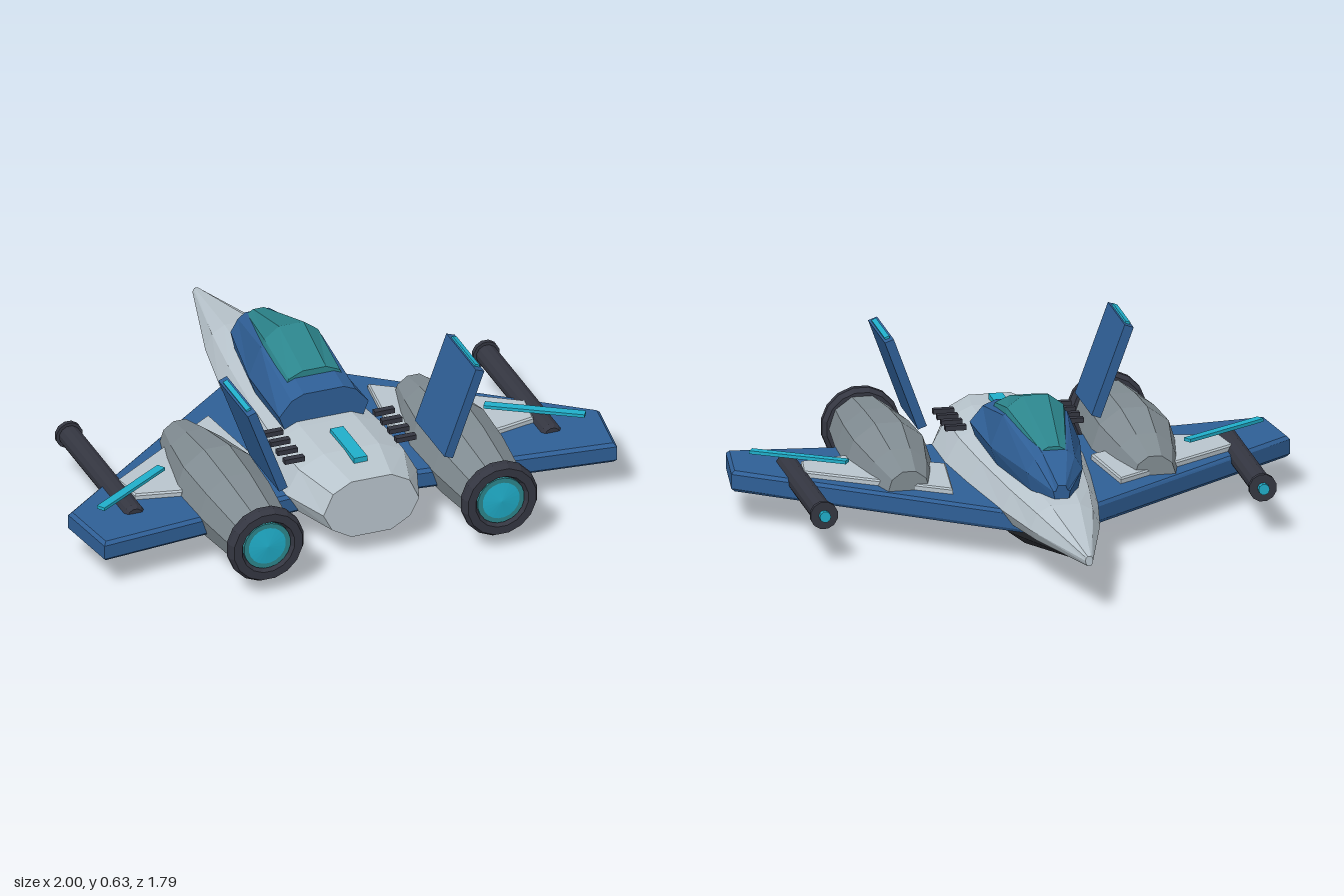
import * as THREE from 'three';

const mat = (name, color) => {
  const m = new THREE.MeshStandardMaterial({ color, flatShading: true });
  m.name = name;
  return m;
};

// Loft through sections [z, right half of outline from bottom to top], mirrored in x
function loft(sections) {
  const rings = sections.map(([z, half]) => {
    const left = half.filter(p => p[0] > 0).reverse().map(([x, y]) => [-x, y]);
    return [...half, ...left].map(([x, y]) => [x, y, z]);
  });
  const n = rings[0].length, pos = [];
  const tri = (a, b, c) => pos.push(...a, ...b, ...c);
  for (let i = 0; i < rings.length - 1; i++) {
    for (let k = 0; k < n; k++) {
      const j = (k + 1) % n;
      tri(rings[i][k], rings[i][j], rings[i + 1][j]);
      tri(rings[i][k], rings[i + 1][j], rings[i + 1][k]);
    }
  }
  const first = rings[0], last = rings[rings.length - 1];
  for (let k = 1; k < n - 1; k++) {
    tri(first[0], first[k + 1], first[k]);
    tri(last[0], last[k], last[k + 1]);
  }
  const g = new THREE.BufferGeometry();
  g.setAttribute('position', new THREE.Float32BufferAttribute(pos, 3));
  g.computeVertexNormals();
  return g;
}

// Flat plate with an outline in x and z, between two heights
function plate(points, s, y0, y1, bevel) {
  const shape = new THREE.Shape(points.map(([x, z]) => new THREE.Vector2(s * x, z)));
  const g = new THREE.ExtrudeGeometry(shape, {
    depth: y1 - y0 - 2 * bevel, bevelEnabled: bevel > 0,
    bevelThickness: bevel, bevelSize: bevel, bevelOffset: -bevel, bevelSegments: 1
  });
  g.rotateX(Math.PI / 2);
  g.translate(0, y1 - bevel, 0);
  return g;
}

// Round part along z from a profile of [radius, z]
function turned(profile, sides) {
  const g = new THREE.LatheGeometry(profile.map(([r, z]) => new THREE.Vector2(r, z)), sides, Math.PI / sides);
  return g.rotateX(Math.PI / 2);
}

export function createModel() {
  const model = new THREE.Group();
  model.name = 'starfighter';
  const blue = mat('blue', 0x2f5f96), light = mat('lightGrey', 0xb9c5cd), grey = mat('midGrey', 0x818c92);
  const dark = mat('darkMetal', 0x343641), black = mat('bellyBlack', 0x292b30);
  const glass = mat('tealGlass', 0x2c858c), cyan = mat('cyanGlow', 0x20aeca);
  const add = (name, geometry, material, parent = model) => {
    const m = new THREE.Mesh(geometry, material);
    m.name = name;
    parent.add(m);
    return m;
  };

  // Hull: [z, half width, bottom, top]
  const hull = [
    [-0.9, 0.014, 0.175, 0.21], [-0.5, 0.125, 0.13, 0.28], [-0.25, 0.172, 0.11, 0.295],
    [0.1, 0.22, 0.085, 0.31], [0.35, 0.247, 0.078, 0.325], [0.57, 0.247, 0.075, 0.33], [0.76, 0.18, 0.09, 0.31]
  ];
  add('hull', loft(hull.map(([z, w, b, t]) => {
    const m = 0.195;
    return [z, [[0.42 * w, b], [0.82 * w, b + (m - b) * 0.4], [w, m], [0.8 * w, m + (t - m) * 0.68], [0.42 * w, t]]];
  })), light);

  // Belly keel: [z, half width, bottom, top]
  const keel = [[-0.67, 0.02, 0.135, 0.16], [-0.04, 0.13, 0.005, 0.13], [0.3, 0.135, 0.025, 0.12], [0.67, 0.1, 0.05, 0.12]];
  add('belly', loft(keel.map(([z, w, b, t]) =>
    [z, [[0.35 * w, b], [0.8 * w, b + (t - b) * 0.35], [w, t]]])), black);

  // Cockpit frame: [z, half width, top]
  const frame = [[-0.444, 0.03, 0.333], [-0.324, 0.1, 0.42], [0, 0.16, 0.485], [0.31, 0.168, 0.428]];
  add('cockpitFrame', loft(frame.map(([z, w, t]) =>
    [z, [[0.85 * w, 0.285], [w, z < -0.4 ? 0.312 : 0.352], [0.72 * w, t - 0.02], [0.45 * w, t]]])), blue);

  // Canopy glass: [z, half width, bottom, top]
  const canopy = [[-0.31, 0.05, 0.4, 0.435], [0, 0.115, 0.43, 0.533], [0.22, 0.11, 0.41, 0.468]];
  add('canopyGlass', loft(canopy.map(([z, w, b, t]) =>
    [z, [[w, b], [0.88 * w, b + (t - b) * 0.6], [0.4 * w, t]]])), glass);

  // Light strip along the back
  add('backLight', new THREE.BoxGeometry(0.05, 0.02, 0.23), cyan).position.set(0, 0.332, 0.545);

  for (const s of [1, -1]) {
    const side = new THREE.Group();
    side.name = s > 0 ? 'leftSide' : 'rightSide';
    model.add(side);

    // Wing, raised panel and light strip
    add('wing', plate([[0.1, -0.3], [1, 0.405], [0.965, 0.66], [0.1, 0.57]], s, 0.12, 0.196, 0.012), blue, side);
    add('wingPanel', plate([[0.3, -0.03], [0.77, 0.285], [0.75, 0.41], [0.59, 0.445], [0.26, 0.28]], s, 0.18, 0.217, 0.006), light, side);
    const strip = add('wingLight', new THREE.BoxGeometry(0.36, 0.012, 0.032), cyan, side);
    strip.position.set(s * 0.76, 0.238, 0.395);
    strip.rotation.y = -s * 0.565;

    // Gun
    const gun = new THREE.Group();
    gun.name = 'gun';
    gun.position.set(s * 0.785, 0.183, 0);
    side.add(gun);
    add('gunBarrel', turned([[0, -0.13], [0.038, -0.13], [0.04, -0.11], [0.04, 0.485], [0.03, 0.5], [0, 0.5]], 12), dark, gun);
    add('gunFlange', turned([[0, -0.142], [0.05, -0.142], [0.05, -0.125], [0, -0.125]], 12), dark, gun);
    add('gunTip', turned([[0, -0.162], [0.02, -0.162], [0.02, -0.13], [0, -0.13]], 10), cyan, gun);

    // Engine with nozzle and glow
    const engine = new THREE.Group();
    engine.name = 'engine';
    engine.position.set(s * 0.44, 0.193, 0);
    side.add(engine);
    add('engineBody', turned([[0, 0.05], [0.075, 0.05], [0.115, 0.2], [0.153, 0.4], [0.145, 0.6], [0.118, 0.84], [0, 0.84]], 10), grey, engine);
    add('nozzle', turned([[0.1, 0.83], [0.128, 0.832], [0.142, 0.85], [0.142, 0.872], [0.13, 0.892], [0.1, 0.892], [0.088, 0.87], [0.088, 0.83]], 16), dark, engine);
    add('glowRing', turned([[0.064, 0.882], [0.088, 0.882], [0.088, 0.87], [0.064, 0.87]].reverse(), 20), glass, engine);
    add('glowDisc', turned([[0, 0.85], [0.07, 0.85], [0.07, 0.882], [0, 0.89]], 20), cyan, engine);

    // Tail fin leaning outwards
    const fin = new THREE.Group();
    fin.name = 'tailFin';
    fin.position.set(s * 0.37, 0.465, 0.57);
    fin.rotation.z = -s * 0.35;
    side.add(fin);
    add('finPlate', new THREE.BoxGeometry(0.034, 0.345, 0.28), blue, fin);
    add('finLight', new THREE.BoxGeometry(0.018, 0.012, 0.22), cyan, fin).position.y = 0.174;

    // Vent bars
    for (let i = 0; i < 4; i++) {
      add('ventBar', new THREE.BoxGeometry(0.075, 0.018, 0.024), dark, side)
        .position.set(s * 0.21, 0.322, 0.35 + i * 0.068);
    }
  }
  // Open ring surfaces show from both sides
  glass.side = THREE.DoubleSide;
  dark.side = THREE.DoubleSide;
  return model;
}
